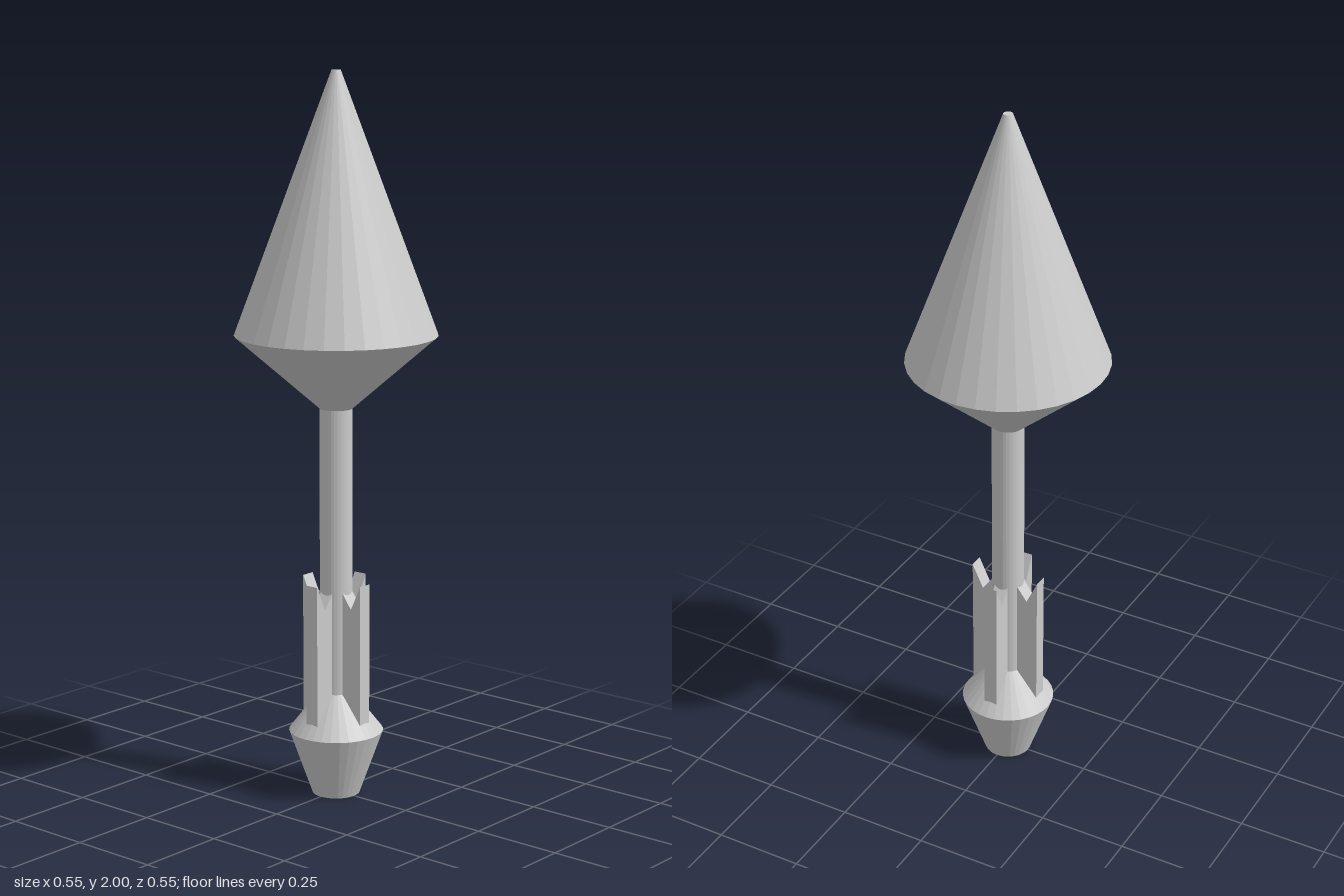
import * as THREE from 'three';

const material = new THREE.MeshStandardMaterial({ color: 0xcccccc, flatShading: true });
const SIDES = 32;

// Tapered round section standing between two heights
function section(name, y0, r0, y1, r1, open = true) {
  const mesh = new THREE.Mesh(new THREE.CylinderGeometry(r1, r0, y1 - y0, SIDES, 1, open), material);
  mesh.name = name;
  mesh.position.y = (y0 + y1) / 2;
  return mesh;
}

// Closed solid turned from a [radius, height] profile
function turned(name, profile) {
  const points = profile.map(([r, y]) => new THREE.Vector2(r, y));
  const mesh = new THREE.Mesh(new THREE.LatheGeometry(points, SIDES), material);
  mesh.name = name;
  return mesh;
}

export function createModel() {
  const model = new THREE.Group();
  model.name = 'dart';

  // Double-cone head with a small blunt tip
  model.add(turned('head', [[0, 1.09], [0.045, 1.09], [0.277, 1.292], [0.0125, 2], [0, 2]]));

  // Slim shaft
  model.add(section('shaft', 0.29, 0.045, 1.09, 0.045));

  // Flared tail piece
  model.add(turned('tail', [[0, 0], [0.066, 0], [0.131, 0.182], [0.045, 0.292], [0, 0.292]]));

  // Four fins with a V notch in the top edge
  const thickness = 0.04;
  const outline = new THREE.Shape([
    [0.03, 0.213], [0.103, 0.213], [0.103, 0.61], [0.07, 0.54], [0.03, 0.594],
  ].map(([x, y]) => new THREE.Vector2(x, y)));
  const finGeometry = new THREE.ExtrudeGeometry(outline, { depth: thickness, bevelEnabled: false });
  finGeometry.translate(0, 0, -thickness / 2);

  const fins = new THREE.Group();
  fins.name = 'fins';
  for (let i = 0; i < 4; i++) {
    const fin = new THREE.Mesh(finGeometry, material);
    fin.name = 'fin';
    fin.rotation.y = i * Math.PI / 2;
    fins.add(fin);
  }
  model.add(fins);

  return model;
}
